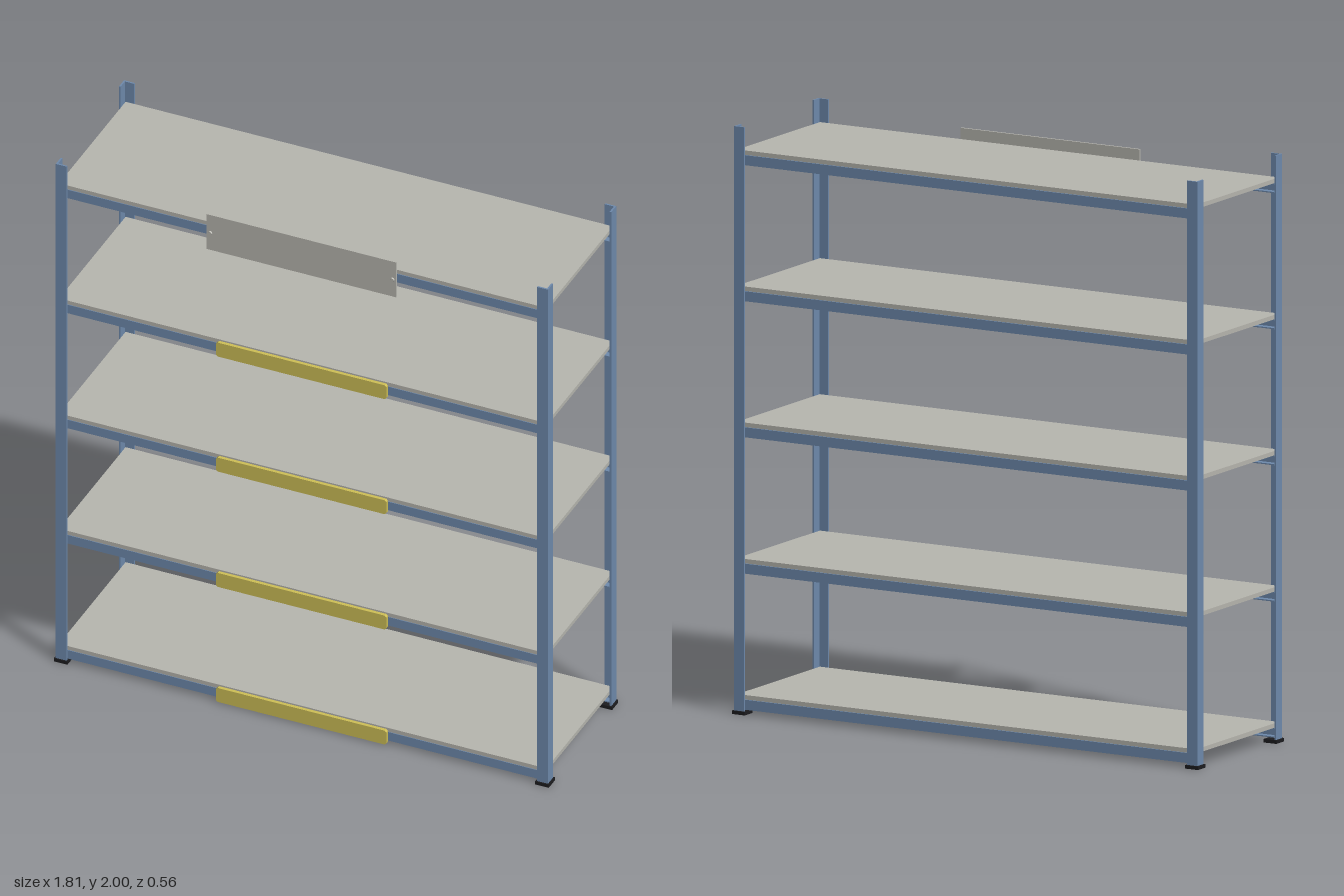
import * as THREE from 'three';

const POST_X = 0.902, FRONT_Z = 0.272, BACK_Z = -0.276;
const SHELF_TOPS = [0.067, 0.53, 0.994, 1.457, 1.92];

export function createModel() {
  const rack = new THREE.Group();
  rack.name = 'shelvingRack';

  const mat = (name, color) => {
    const m = new THREE.MeshStandardMaterial({ color });
    m.name = name;
    return m;
  };
  const blue = mat('blueSteel', 0x6f8bae);
  const grey = mat('greyPanel', 0xb8b7b0);
  const yellow = mat('yellowLabel', 0xcfc057);
  const black = mat('blackFoot', 0x1c1c1f);

  const add = (name, geometry, material, x, y, z, parent = rack) => {
    const mesh = new THREE.Mesh(geometry, material);
    mesh.name = name;
    mesh.position.set(x, y, z);
    parent.add(mesh);
    return mesh;
  };
  const box = (w, h, d) => new THREE.BoxGeometry(w, h, d);
  const extrude = (points, depth) => new THREE.ExtrudeGeometry(
    new THREE.Shape(points.map(([x, y]) => new THREE.Vector2(x, y))),
    { depth, bevelEnabled: false });

  // Angle-section posts: corner at the origin, legs running along +x and +z
  const W = 0.04, T = 0.006;
  const postGeo = extrude([[0, 0], [W, 0], [W, T], [T, T], [T, W], [0, W]], 1.992);
  postGeo.rotateX(-Math.PI / 2);        // now upright, legs along +x and -z
  const corners = [
    ['frontRight', -1, FRONT_Z, 0], ['frontLeft', 1, FRONT_Z, Math.PI / 2],
    ['backLeft', 1, BACK_Z, Math.PI], ['backRight', -1, BACK_Z, -Math.PI / 2],
  ];
  for (const [name, side, z, turn] of corners) {
    add(name + 'Post', postGeo, blue, side * POST_X, 0.008, z).rotation.y = turn;
    const inward = z > 0 ? -1 : 1;
    add(name + 'Foot', box(0.05, 0.012, 0.05), black,
      side * (POST_X - W / 2), 0.006, z + inward * W / 2);
  }

  // Channel beam section, web at z = 0 and flanges pointing to -z
  const B = 0.034, F = 0.026, t = 0.004;
  const beamGeo = extrude(
    [[0, 0], [F, 0], [F, t], [t, t], [t, B - t], [F, B - t], [F, B], [0, B]], 1.78);
  beamGeo.translate(0, 0, -0.89);
  beamGeo.rotateY(Math.PI / 2);

  // Shelf boards, each on a front and a back beam
  SHELF_TOPS.forEach((top, i) => {
    const level = new THREE.Group();
    level.name = 'shelfLevel' + (i + 1);
    rack.add(level);
    add('shelfBoard', box(1.786, 0.015, 0.534), grey, 0, top - 0.0075, -0.002, level);
    add('frontBeam', beamGeo, blue, 0, top - 0.05, FRONT_Z - 0.006, level);
    add('backBeam', beamGeo, blue, 0, top - 0.05, BACK_Z + 0.006, level).rotation.y = Math.PI;
  });

  // Yellow label holders with clipped corners on the lower four levels
  const w = 0.312, h = 0.028, c = 0.006;
  const labelGeo = extrude([[-w + c, -h], [w - c, -h], [w, -h + c], [w, h - c],
    [w - c, h], [-w + c, h], [-w, h - c], [-w, -h + c]], 0.012);
  for (const top of SHELF_TOPS.slice(0, 4)) {
    add('labelHolder', labelGeo, yellow, 0, top - 0.033, 0.266);
  }

  // Sign plate on the top level, fixed by two rivets
  add('signPlate', box(0.696, 0.14, 0.008), grey, 0, 1.887, 0.273);
  const rivetGeo = new THREE.CylinderGeometry(0.006, 0.008, 0.004, 16);
  rivetGeo.rotateX(Math.PI / 2);
  for (const side of [-1, 1]) add('signRivet', rivetGeo, grey, side * 0.334, 1.885, 0.279);

  return rack;
}
